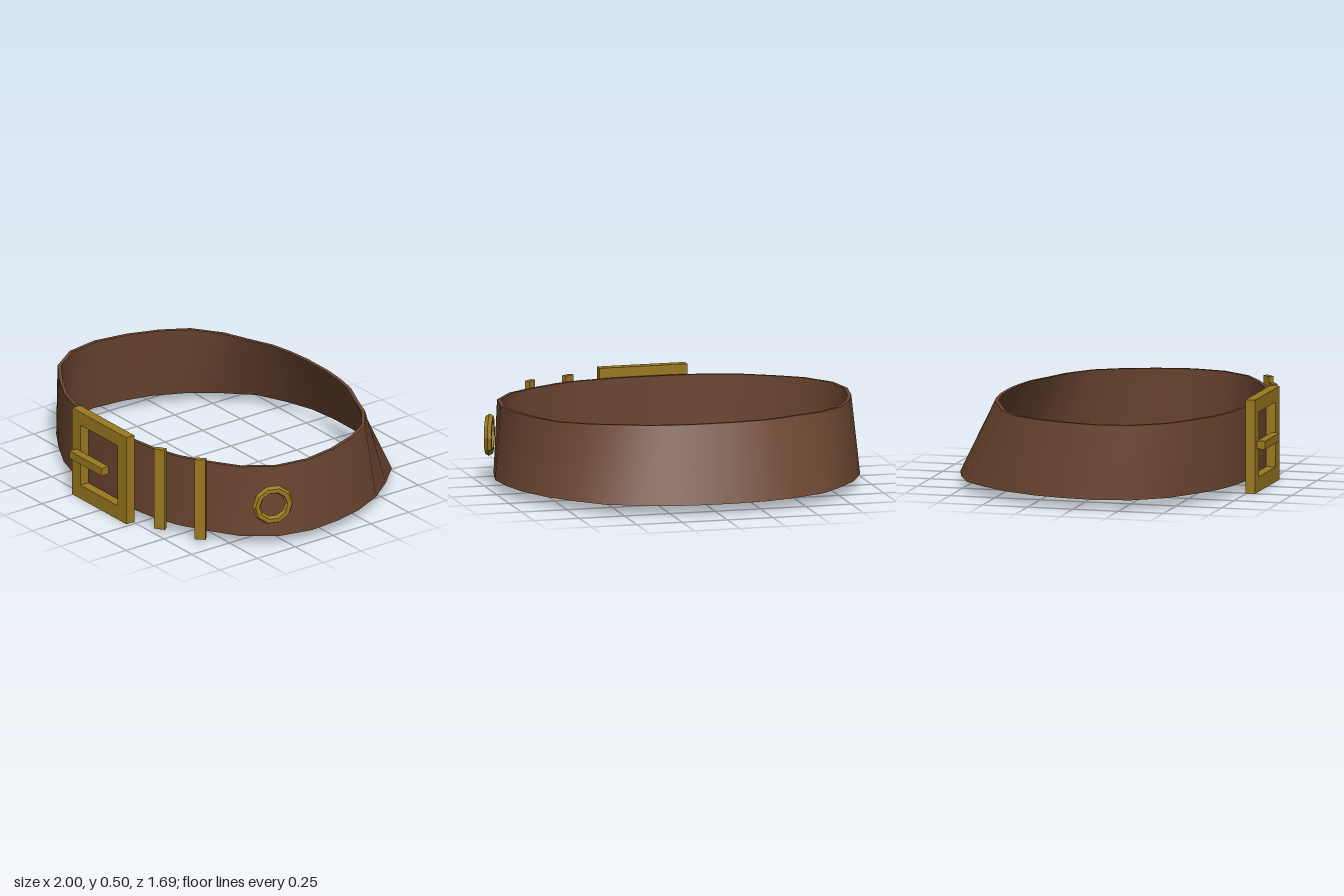
import * as THREE from 'three';

const leather = new THREE.MeshStandardMaterial({ color: 0x6b4530 });
leather.name = 'brown leather';
const brass = new THREE.MeshStandardMaterial({ color: 0x9a7820 });
brass.name = 'aged brass';
const flatten = (geo) => {
  const g = geo.toNonIndexed();
  g.computeVertexNormals();
  return g;
};

// Half outlines of the strap, back to front: [x, z]
const bottomHalf = [[0.09, -0.845], [0.265, -0.825], [0.425, -0.775], [0.6, -0.695], [0.73, -0.56],
  [0.845, -0.41], [0.93, -0.23], [0.97, -0.07], [0.988, 0.12], [0.945, 0.31], [0.82, 0.475],
  [0.67, 0.57], [0.51, 0.655], [0.37, 0.7], [0.2, 0.726], [0.07, 0.734]];
const topHalf = [[0.09, -0.65], [0.23, -0.635], [0.35, -0.61], [0.49, -0.55], [0.63, -0.495],
  [0.78, -0.385], [0.865, -0.24], [0.925, -0.07], [0.957, 0.12], [0.927, 0.305], [0.815, 0.47],
  [0.67, 0.568], [0.51, 0.655], [0.37, 0.7], [0.2, 0.724], [0.07, 0.73]];

// Mirrored closed ring, optionally moved inward by the leather thickness
function ring(half, y, inset) {
  const pts = [...half, ...half.map(([x, z]) => [-x, z]).reverse()];
  const n = pts.length;
  return pts.map(([x, z], i) => {
    const a = pts[(i + n - 1) % n], b = pts[(i + 1) % n];
    const tx = b[0] - a[0], tz = b[1] - a[1], l = Math.hypot(tx, tz);
    return [x - 0.012 - (tz / l) * inset, y, z + (tx / l) * inset];
  });
}

// Closed band between two rings, with its own smooth normals
function band(a, b, name) {
  const n = a.length, index = [];
  for (let i = 0; i < n; i++) {
    const j = (i + 1) % n;
    index.push(i, n + i, j, j, n + i, n + j);
  }
  const g = new THREE.BufferGeometry();
  g.setAttribute('position', new THREE.Float32BufferAttribute([...a, ...b].flat(), 3));
  g.setIndex(index);
  g.computeVertexNormals();
  const mesh = new THREE.Mesh(g, leather);
  mesh.name = name;
  return mesh;
}

export function createModel() {
  const model = new THREE.Group();
  model.name = 'belt';
  const add = (name, geo, x, y, z, turn = 0) => {
    const mesh = new THREE.Mesh(geo, brass);
    mesh.name = name;
    mesh.position.set(x, y, z);
    mesh.rotation.y = turn;
    model.add(mesh);
  };

  // Strap: outside, inside and both cut edges
  const strap = new THREE.Group();
  strap.name = 'strap';
  const outLow = ring(bottomHalf, 0.055, 0), outTop = ring(topHalf, 0.455, 0);
  const inLow = ring(bottomHalf, 0.055, 0.02), inTop = ring(topHalf, 0.455, 0.02);
  strap.add(band(outLow, outTop, 'strapOutside'), band(outTop, inTop, 'strapTopEdge'),
    band(inTop, inLow, 'strapInside'), band(inLow, outLow, 'strapBottomEdge'));
  model.add(strap);

  // Square buckle frame with a window
  const rect = (path, x0, y0, x1, y1) =>
    path.moveTo(x0, y0).lineTo(x1, y0).lineTo(x1, y1).lineTo(x0, y1).closePath();
  const frame = new THREE.Shape(), hole = new THREE.Path();
  rect(frame, -0.255, 0, 0.23, 0.505);
  rect(hole, -0.18, 0.08, 0.15, 0.43);
  frame.holes.push(hole);
  add('buckleFrame', new THREE.ExtrudeGeometry(frame, { depth: 0.053, bevelEnabled: false }), 0, 0, 0.745);
  add('buckleProng', new THREE.BoxGeometry(0.285, 0.044, 0.046), -0.073, 0.257, 0.82);

  // Strap keepers beside the buckle
  for (const [x, z, turn] of [[0.414, 0.71, 0.6], [0.648, 0.618, 0.78]]) {
    add('keeper', new THREE.BoxGeometry(0.06, 0.465, 0.028), x, 0.253, z, turn);
  }

  // Faceted eyelet on the left side
  add('eyelet', flatten(new THREE.TorusGeometry(0.09, 0.023, 6, 10)), 0.943, 0.255, 0.357, 1.21);

  return model;
}
